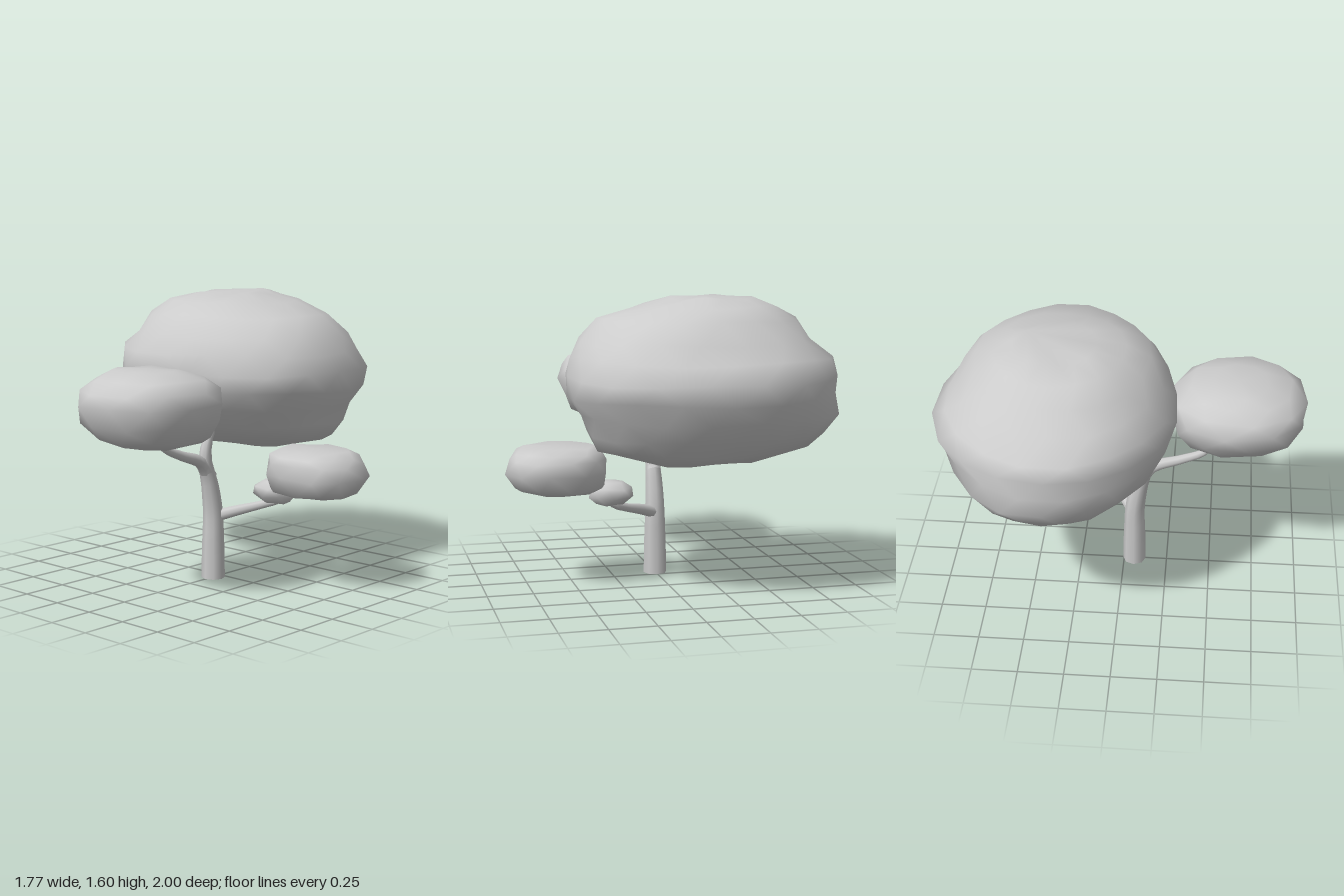
import * as THREE from 'three';

const material = new THREE.MeshStandardMaterial({ color: 0xcccccc, side: THREE.DoubleSide });

// Foliage clump lofted through rings [y, xMin, xMax, zMin, zMax]; first and last rings are poles.
function clump(name, rings, sides, lump, power = 1, phase = 0) {
  const pos = [], index = [];
  const last = rings.length - 1;
  const bulge = (c) => Math.sign(c) * Math.abs(c) ** power;
  rings.forEach(([y, x0, x1, z0, z1], i) => {
    for (let j = 0; j < sides; j++) {
      const a = ((j + (i % 2) * 0.5) / sides) * Math.PI * 2 + phase;
      const k = 1 + lump * Math.sin(a * 3 + i * 1.7) * Math.cos(a * 2 - i * 0.9);
      const dy = i > 0 && i < last ? lump * 0.35 * Math.sin(a * 4 + i * 2.3) : 0;
      pos.push(
        (x0 + x1) / 2 + ((x1 - x0) / 2) * k * bulge(Math.cos(a)),
        y + dy,
        (z0 + z1) / 2 + ((z1 - z0) / 2) * k * bulge(Math.sin(a))
      );
    }
  });
  const at = (i, j) => i * sides + (i === 0 || i === last ? 0 : j % sides);
  for (let i = 0; i < last; i++) {
    for (let j = 0; j < sides; j++) {
      const a = at(i, j), b = at(i, j + 1), c = at(i + 1, j), d = at(i + 1, j + 1);
      // alternate the diagonal to follow the half-step twist of the rings
      const quad = i % 2 ? [[a, d, b], [a, c, d]] : [[a, c, b], [b, c, d]];
      for (const t of quad) if (new Set(t).size === 3) index.push(...t);
    }
  }
  const geo = new THREE.BufferGeometry();
  geo.setAttribute('position', new THREE.Float32BufferAttribute(pos, 3));
  geo.setIndex(index);
  geo.computeVertexNormals();
  const mesh = new THREE.Mesh(geo, material);
  mesh.name = name;
  return mesh;
}

// Tube along a smooth path whose radius is interpolated from a list of radii.
function limb(name, points, radii, segments = 14, sides = 8) {
  const curve = new THREE.CatmullRomCurve3(points.map((p) => new THREE.Vector3(...p)));
  const geo = new THREE.TubeGeometry(curve, segments, 1, sides);
  const pos = geo.attributes.position;
  const v = new THREE.Vector3();
  for (let i = 0; i < pos.count; i++) {
    const t = Math.floor(i / (sides + 1)) / segments;
    const f = t * (radii.length - 1);
    const k = Math.min(Math.floor(f), radii.length - 2);
    const r = THREE.MathUtils.lerp(radii[k], radii[k + 1], f - k);
    const centre = curve.getPointAt(t);
    v.fromBufferAttribute(pos, i).sub(centre).multiplyScalar(r).add(centre);
    pos.setXYZ(i, v.x, v.y, v.z);
  }
  const mesh = new THREE.Mesh(geo, material);
  mesh.name = name;
  return mesh;
}

export function createModel() {
  const tree = new THREE.Group();
  tree.name = 'tree';

  // Trunk, its flat underside and the two branches
  tree.add(limb('trunk',
    [[0, 0, 0.06], [0, 0.2, 0.06], [0, 0.38, 0.062], [0, 0.55, 0.09], [0, 0.68, 0.125], [0, 0.8, 0.1], [0, 0.92, 0.02]],
    [0.066, 0.064, 0.058, 0.052, 0.042, 0.028, 0.02]));
  const base = new THREE.Mesh(new THREE.CircleGeometry(0.066, 8), material);
  base.name = 'trunkBase';
  base.rotation.x = Math.PI / 2;
  base.position.z = 0.06;
  tree.add(base);
  tree.add(limb('frontBranch',
    [[0, 0.58, 0.09], [0, 0.67, 0.16], [0, 0.73, 0.32], [0, 0.79, 0.45], [0, 0.88, 0.51]],
    [0.045, 0.034, 0.027, 0.022, 0.018]));
  tree.add(limb('sideBranch',
    [[0, 0.35, 0.05], [0.1, 0.385, -0.02], [0.22, 0.425, -0.13], [0.3, 0.46, -0.18], [0.36, 0.54, -0.17], [0.45, 0.6, -0.14]],
    [0.035, 0.03, 0.024, 0.022, 0.02, 0.018]));

  // Large main crown
  tree.add(clump('mainCrown', [
    [0.71, -0.13, -0.13, -0.42, -0.42],
    [0.735, -0.45, 0.22, -0.7, -0.12],
    [0.79, -0.72, 0.42, -0.79, 0.03],
    [0.87, -0.83, 0.46, -0.86, 0.12],
    [0.97, -0.88, 0.51, -0.93, 0.22],
    [1.07, -0.88, 0.57, -0.97, 0.27],
    [1.17, -0.88, 0.58, -1.0, 0.31],
    [1.27, -0.87, 0.55, -0.94, 0.27],
    [1.36, -0.75, 0.49, -0.87, 0.23],
    [1.47, -0.67, 0.4, -0.78, 0.15],
    [1.54, -0.56, 0.18, -0.68, 0.02],
    [1.58, -0.42, 0.02, -0.57, -0.12],
    [1.6, -0.12, -0.12, -0.5, -0.5],
  ], 18, 0.025, 0.95));

  // Front clump
  tree.add(clump('frontClump', [
    [0.83, 0.12, 0.12, 0.66, 0.66],
    [0.845, -0.06, 0.3, 0.36, 0.83],
    [0.88, -0.17, 0.37, 0.29, 0.91],
    [0.96, -0.25, 0.41, 0.26, 0.99],
    [1.06, -0.28, 0.45, 0.25, 1.0],
    [1.13, -0.24, 0.42, 0.26, 1.0],
    [1.19, -0.19, 0.38, 0.36, 0.92],
    [1.23, -0.13, 0.23, 0.48, 0.78],
    [1.235, 0.05, 0.05, 0.62, 0.62],
  ], 10, 0.015, 0.88, 0.15));

  // Side clump
  tree.add(clump('sideClump', [
    [0.51, 0.56, 0.56, -0.17, -0.17],
    [0.525, 0.42, 0.7, -0.27, 0.0],
    [0.55, 0.34, 0.82, -0.32, 0.09],
    [0.64, 0.32, 0.88, -0.37, 0.12],
    [0.71, 0.33, 0.85, -0.35, 0.115],
    [0.75, 0.34, 0.82, -0.33, 0.1],
    [0.778, 0.39, 0.77, -0.28, 0.05],
    [0.78, 0.58, 0.58, -0.12, -0.12],
  ], 10, 0.015, 0.85, 0.2));

  // Small clump at the bend of the side branch
  tree.add(clump('smallClump', [
    [0.44, 0.32, 0.32, -0.13, -0.13],
    [0.45, 0.23, 0.38, -0.2, -0.07],
    [0.49, 0.17, 0.42, -0.24, -0.02],
    [0.54, 0.18, 0.4, -0.24, -0.01],
    [0.57, 0.23, 0.37, -0.19, -0.06],
    [0.575, 0.3, 0.3, -0.12, -0.12],
  ], 8, 0.015, 0.9));

  return tree;
}
